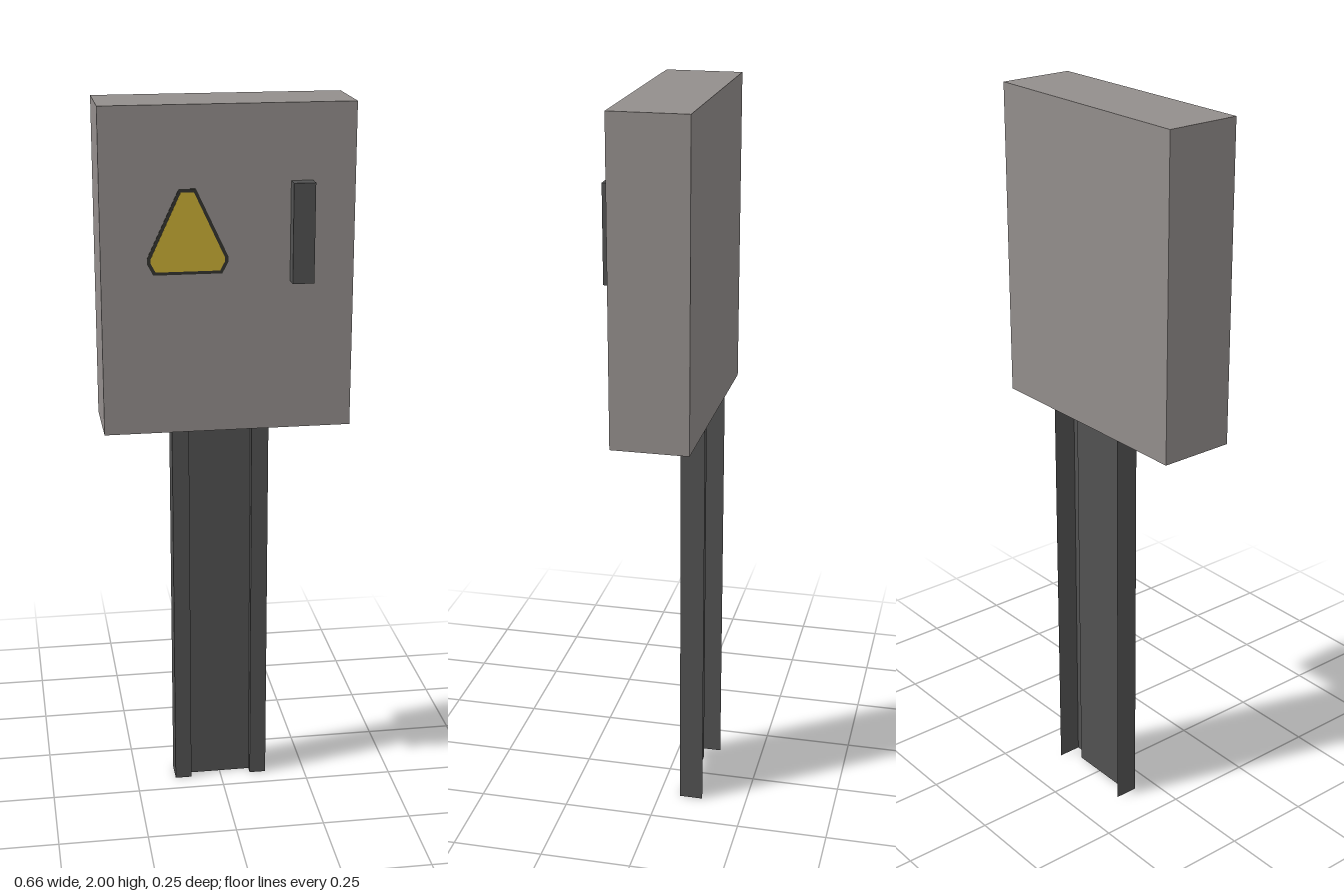
import * as THREE from 'three';

const grey = new THREE.MeshStandardMaterial({ name: 'cabinetGrey', color: 0x938e8c });
const dark = new THREE.MeshStandardMaterial({ name: 'darkMetal', color: 0x525252 });
const sheet = new THREE.MeshStandardMaterial({ name: 'postMetal', color: 0x525252, side: THREE.DoubleSide });
const black = new THREE.MeshStandardMaterial({ name: 'signBorder', color: 0x33332f });
const yellow = new THREE.MeshStandardMaterial({ name: 'signYellow', color: 0xcbae35 });

// Box given by its minimum and maximum corners
function box(name, material, [x0, y0, z0], [x1, y1, z1]) {
  const mesh = new THREE.Mesh(new THREE.BoxGeometry(x1 - x0, y1 - y0, z1 - z0), material);
  mesh.name = name;
  mesh.position.set((x0 + x1) / 2, (y0 + y1) / 2, (z0 + z1) / 2);
  return mesh;
}

// Thin triangular plate with clipped corners; halves are mirrored
function signPlate(name, material, half, z, depth) {
  const mirrored = half.map(([x, y]) => [-x, y]).reverse();
  const shape = new THREE.Shape([...half, ...mirrored].map(([x, y]) => new THREE.Vector2(x, y)));
  const mesh = new THREE.Mesh(new THREE.ExtrudeGeometry(shape, { depth, bevelEnabled: false }), material);
  mesh.name = name;
  mesh.position.set(-0.106, 0, z);
  return mesh;
}

// Folded sheet post: (x, z) profile swept upwards
function foldedPost(height) {
  const half = [[0.135, -0.125], [0.135, -0.059], [0.088, -0.059], [0.088, -0.084]];
  const profile = [...half, ...half.map(([x, z]) => [-x, z]).reverse()];
  const positions = [];
  for (let i = 0; i < profile.length - 1; i++) {
    const [ax, az] = profile[i];
    const [bx, bz] = profile[i + 1];
    positions.push(ax, 0, az, ax, height, az, bx, height, bz);
    positions.push(ax, 0, az, bx, height, bz, bx, 0, bz);
  }
  const geometry = new THREE.BufferGeometry();
  geometry.setAttribute('position', new THREE.Float32BufferAttribute(positions, 3));
  geometry.computeVertexNormals();
  const mesh = new THREE.Mesh(geometry, sheet);
  mesh.name = 'post';
  return mesh;
}

export function createModel() {
  const model = new THREE.Group();
  model.name = 'electricalCabinet';

  // Cabinet on its post, with a door handle
  model.add(foldedPost(1.14));
  model.add(box('cabinet', grey, [-0.332, 1.137, -0.125], [0.332, 2, 0.085]));
  model.add(box('handle', dark, [0.163, 1.54, 0.085], [0.22, 1.802, 0.125]));

  // Warning sign: dark border behind a yellow face
  const outer = [[0.022, 1.788], [0.106, 1.61], [0.106, 1.596], [0.09, 1.566]];
  const inner = [[0.017, 1.779], [0.097, 1.608], [0.097, 1.598], [0.084, 1.574]];
  model.add(signPlate('signBorder', black, outer.reverse(), 0.085, 0.002));
  model.add(signPlate('signFace', yellow, inner.reverse(), 0.087, 0.001));
  return model;
}
